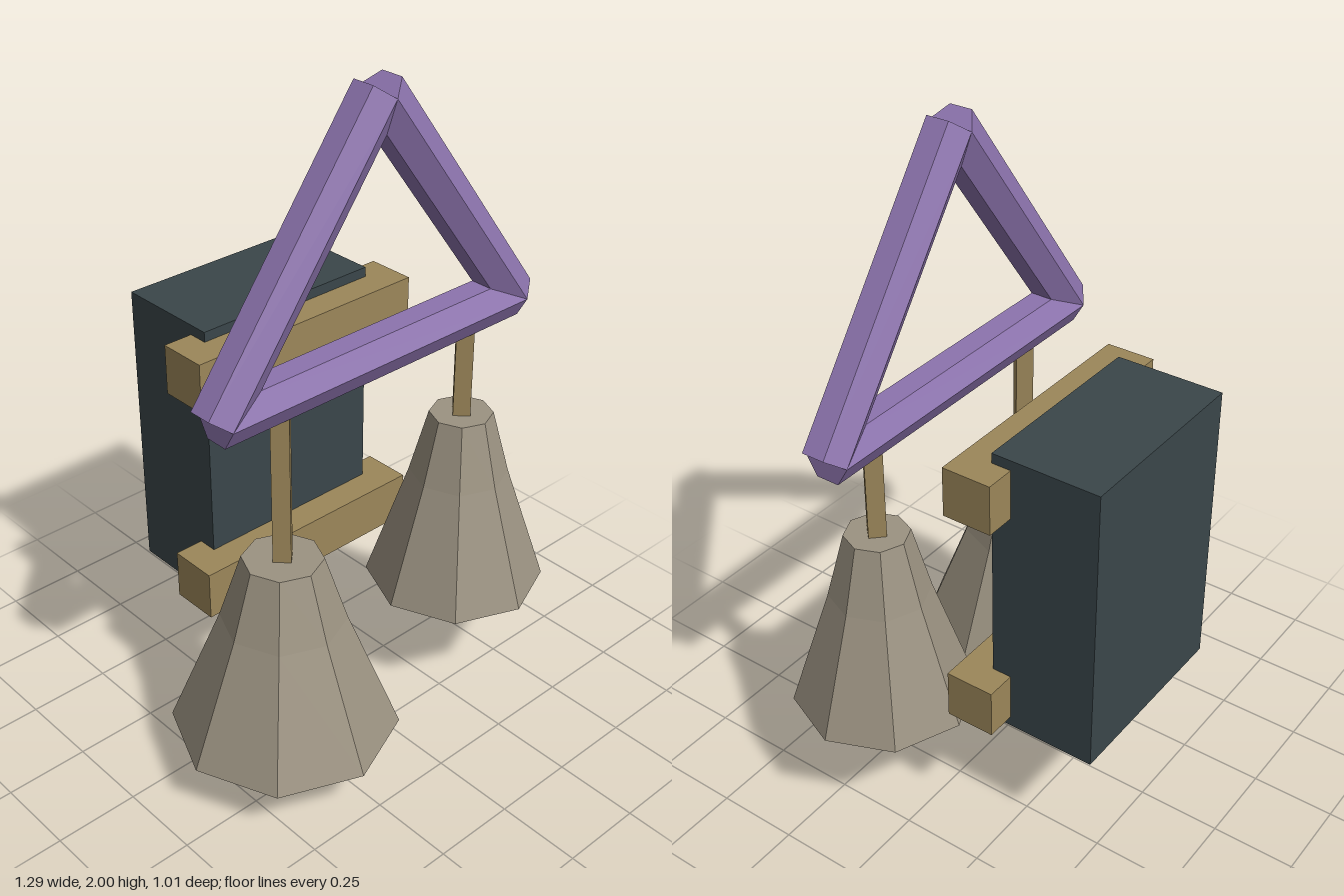
import * as THREE from 'three';

const mat = (color) => new THREE.MeshStandardMaterial({ color, flatShading: true });
const purple = mat(0x8d74ae), tan = mat(0x9c875a), stone = mat(0x9c9382);
const slate = mat(0x3a464a), teal = mat(0x435a5c), green = mat(0x5f8f4e);

const Z = 0.172; // plane of the frame and bells
const MID = 0.012; // centre line of frame and box

function add(parent, name, geometry, material, x = 0, y = 0, z = 0) {
  const mesh = new THREE.Mesh(geometry, material);
  mesh.name = name;
  mesh.position.set(x, y, z);
  parent.add(mesh);
  return mesh;
}

// Faceted solid of revolution from [radius, height] pairs, bottom to top
const turned = (pairs, sides = 8) =>
  new THREE.LatheGeometry(pairs.map(([r, y]) => new THREE.Vector2(r, y)), sides);

// Six-sided bar between two points in the frame plane
function bar(parent, name, [x1, y1], [x2, y2]) {
  const length = Math.hypot(x2 - x1, y2 - y1);
  const mesh = add(parent, name, new THREE.CylinderGeometry(0.07, 0.07, length, 6),
    purple, (x1 + x2) / 2, (y1 + y2) / 2, Z);
  mesh.rotation.z = Math.atan2(y2 - y1, x2 - x1) - Math.PI / 2;
}

// Bell hanging on a square rod, with a disc and a pointed clapper below it
function bell(parent, name, x, rim, s) {
  const g = new THREE.Group();
  g.name = name;
  g.position.set(x, rim, Z);
  parent.add(g);
  add(g, 'bellBody', turned([[0, 0], [0.33 * s, 0], [0.18 * s, 0.37], [0.115 * s, 0.57], [0, 0.57]]), stone);
  add(g, 'bellDisc', new THREE.CylinderGeometry(0.243 * s, 0.243 * s, 0.016, 8), teal, 0, -0.021, 0);
  add(g, 'clapper', turned([[0, -0.157], [0.068, -0.06], [0.035, 0], [0, 0.01]]), green);
  const rodLength = 1.23 - rim - 0.55;
  add(g, 'rod', new THREE.CylinderGeometry(0.036, 0.036, rodLength, 4), tan, 0, 0.55 + rodLength / 2, 0);
}

export function createModel() {
  const model = new THREE.Group();
  model.name = 'bellHanger';

  // Triangular frame
  const left = [MID + 0.541, 1.24], right = [MID - 0.541, 1.24], apex = [MID, 1.964];
  bar(model, 'frameBase', right, left);
  bar(model, 'frameRightSide', right, apex);
  bar(model, 'frameLeftSide', apex, left);

  // Two bells at different heights
  bell(model, 'largeBell', -0.318, 0.157, 1);
  bell(model, 'smallBell', 0.375, 0.339, 0.82);

  // Box behind, with two cross beams on its front
  add(model, 'backBox', new THREE.BoxGeometry(0.6, 0.9, 0.33), slate, MID + 0.002, 0.82, -0.34);
  for (const [name, y] of [['upperBeam', 1.165], ['lowerBeam', 0.475]])
    add(model, name, new THREE.BoxGeometry(0.78, 0.15, 0.15), tan, MID + 0.002, y, -0.16);

  return model;
}
